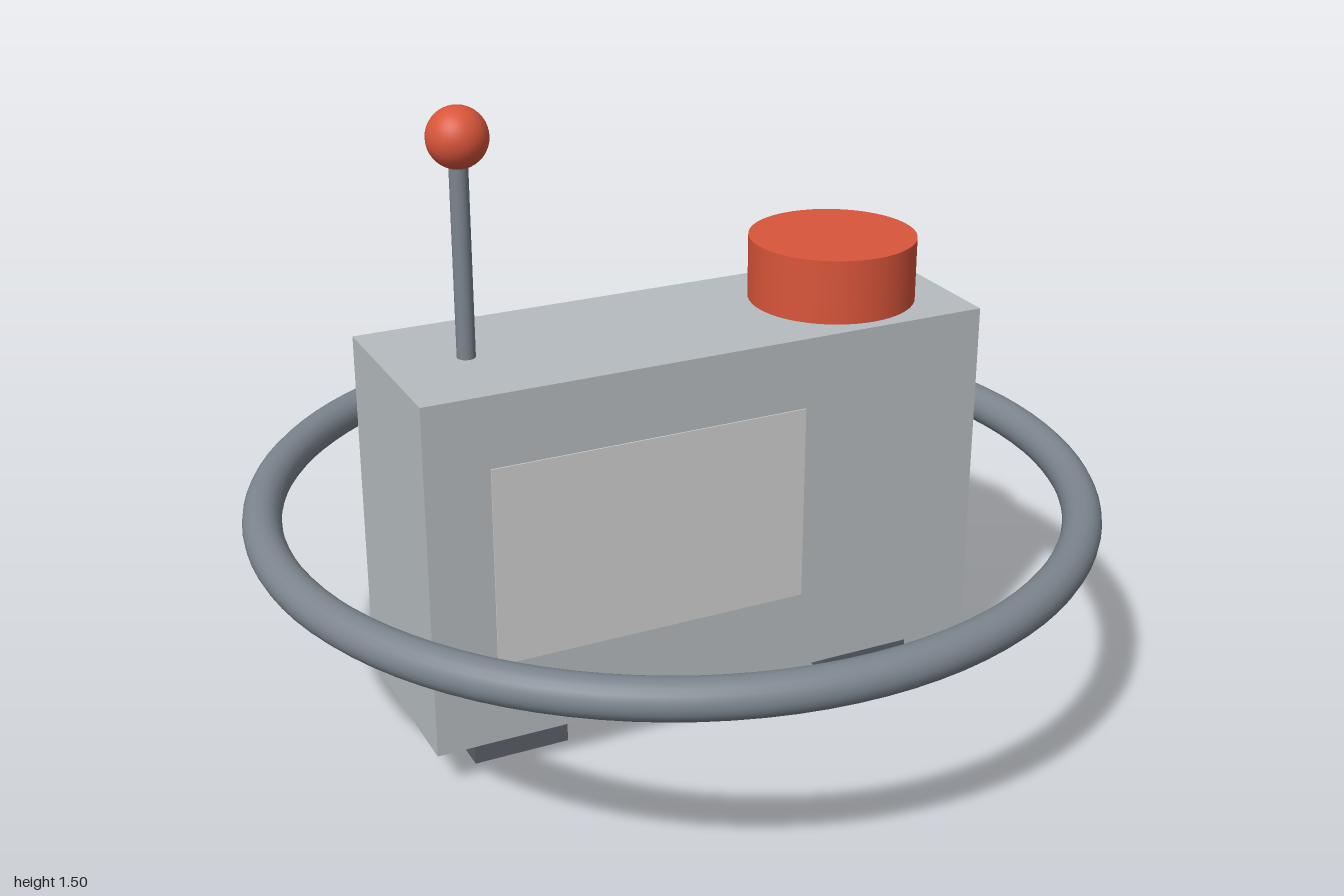
import * as THREE from 'three';

const makeMaterial = (name, color) => {
  const m = new THREE.MeshStandardMaterial({ color });
  m.name = name;
  return m;
};

export function createModel() {
  const shell = makeMaterial('light grey', 0xb6bcc0);
  const pale = makeMaterial('pale grey', 0xd0d0d0);
  const metal = makeMaterial('steel grey', 0x7c858e);
  const dark = makeMaterial('dark grey', 0x5c5f69);
  const red = makeMaterial('red', 0xd9553a);

  const group = new THREE.Group();
  group.name = 'model';
  const add = (name, geometry, material, x, y, z = 0) => {
    const mesh = new THREE.Mesh(geometry, material);
    mesh.name = name;
    mesh.position.set(x, y, z);
    group.add(mesh);
    return mesh;
  };

  // Upright box body with a thin plate on the front
  add('body', new THREE.BoxGeometry(1.374, 0.84, 0.458), shell, 0, 0.515);
  add('frontPanel', new THREE.BoxGeometry(0.764, 0.476, 0.006), pale, -0.155, 0.528, 0.229);

  // Two block feet
  for (const [name, side] of [['leftFoot', 1], ['rightFoot', -1]]) {
    add(name, new THREE.BoxGeometry(0.229, 0.095, 0.306), dark, side * 0.458, 0.0475);
  }

  // Horizontal hoop around the body
  const ring = add('ring', new THREE.TorusGeometry(0.955, 0.045, 20, 96), metal, 0, 0.515);
  ring.rotation.x = Math.PI / 2;

  // Round button on top
  add('button', new THREE.CylinderGeometry(0.198, 0.198, 0.153, 48), red, 0.418, 1.0105);

  // Antenna with a ball tip
  add('antennaRod', new THREE.CylinderGeometry(0.021, 0.021, 0.48, 20), metal, -0.5, 1.175);
  add('antennaBall', new THREE.SphereGeometry(0.068, 32, 20), red, -0.5, 1.43);

  return group;
}
